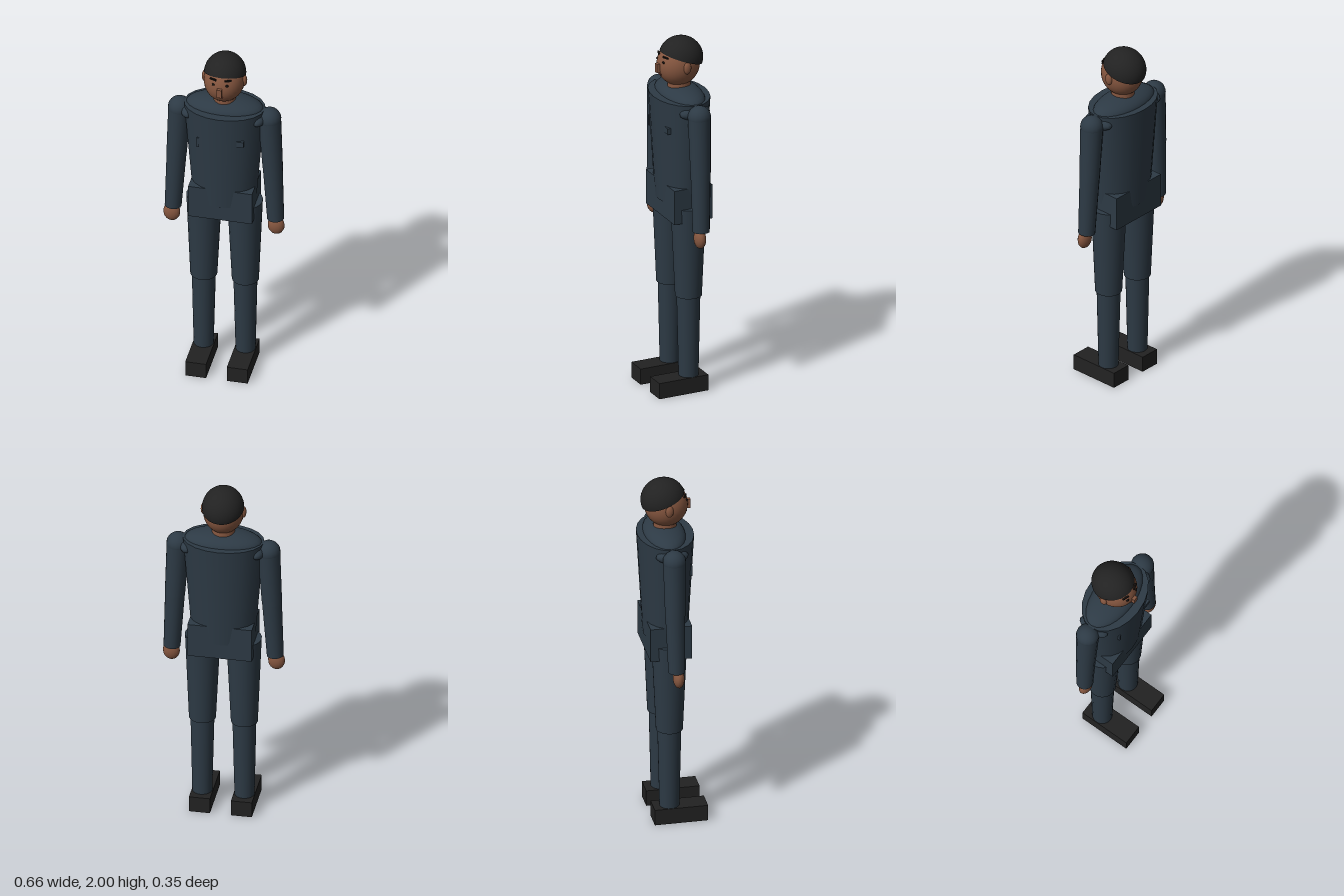
import * as THREE from 'three';

const mat = (name, color) => {
  const m = new THREE.MeshStandardMaterial({ color });
  m.name = name;
  return m;
};

export function createModel() {
  const suit = mat('navySuit', 0x2d3a45);
  const skin = mat('skin', 0x85563f);
  const black = mat('black', 0x222222);
  const dark = mat('eyeDark', 0x120e0c);
  const lip = mat('lip', 0x6b3a30);

  const model = new THREE.Group();
  model.name = 'standingMan';
  const Z = -0.024; // depth axis of the body

  function add(name, geometry, material, x, y, z) {
    const mesh = new THREE.Mesh(geometry, material);
    mesh.name = name;
    mesh.position.set(x, y, z);
    model.add(mesh);
    return mesh;
  }
  const box = (name, m, w, h, d, x, y, z) => add(name, new THREE.BoxGeometry(w, h, d), m, x, y, z);
  const ball = (name, m, rx, ry, rz, x, y, z, segs = 20) =>
    add(name, new THREE.SphereGeometry(1, segs, Math.ceil(segs * 0.7)).scale(rx, ry, rz), m, x, y, z);

  // Tapered limb between two points
  function limb(name, m, top, bottom, rTop, rBottom, sides = 16) {
    const a = new THREE.Vector3(...top), b = new THREE.Vector3(...bottom);
    const axis = a.clone().sub(b);
    const c = a.clone().add(b).multiplyScalar(0.5);
    const mesh = add(name, new THREE.CylinderGeometry(rTop, rBottom, axis.length(), sides), m, c.x, c.y, c.z);
    mesh.quaternion.setFromUnitVectors(new THREE.Vector3(0, 1, 0), axis.normalize());
    return mesh;
  }

  // Torso, shoulder dome and hips
  const torso = new THREE.CylinderGeometry(0.221, 0.173, 0.6, 20).scale(1, 1, 0.69);
  add('torso', torso, suit, 0, 1.38, Z);
  ball('shoulderDome', suit, 0.212, 0.062, 0.112, 0, 1.672, Z - 0.005, 24);
  box('hips', suit, 0.35, 0.195, 0.227, 0, 1.09, -0.025);

  // Jacket details
  box('chestPocket', suit, 0.038, 0.034, 0.02, 0.113, 1.52, 0.098);
  box('jacketSeam', suit, 0.012, 0.06, 0.02, -0.12, 1.495, 0.09);

  // Neck and head
  add('neck', new THREE.CylinderGeometry(0.06, 0.066, 0.12, 20), skin, 0, 1.73, Z);
  ball('head', skin, 0.11, 0.122, 0.118, 0, 1.85, -0.019, 32);

  // Hair: half ellipsoid tilted back
  const cap = new THREE.SphereGeometry(1, 32, 14, 0, Math.PI * 2, 0, Math.PI / 2).scale(0.113, 0.116, 0.122);
  const hair = add('hair', cap, black, 0, 1.883, -0.035);
  hair.rotation.x = -0.35;
  const base = new THREE.Mesh(new THREE.CircleGeometry(1, 32).rotateX(Math.PI / 2).scale(0.113, 1, 0.122), black);
  base.name = 'hairUnderside';
  hair.add(base);

  // Face
  box('nose', skin, 0.026, 0.05, 0.04, 0, 1.842, 0.094);
  box('mouth', lip, 0.034, 0.008, 0.008, 0, 1.806, 0.09);

  for (const s of [-1, 1]) {
    const side = s > 0 ? 'left' : 'right';

    ball(side + 'Eye', dark, 0.009, 0.007, 0.008, s * 0.037, 1.882, 0.086, 10);
    const brow = box(side + 'Eyebrow', dark, 0.038, 0.008, 0.009, s * 0.041, 1.909, 0.077);
    brow.rotation.y = s * 0.35;
    ball(side + 'Ear', skin, 0.015, 0.034, 0.022, s * 0.109, 1.856, -0.021, 14);

    // Arm
    const shoulder = [s * 0.247, 1.625, Z];
    const elbow = [s * 0.264, 1.31, Z + 0.001];
    const wrist = [s * 0.281, 0.977, Z + 0.006];
    ball(side + 'Shoulder', suit, 0.063, 0.063, 0.063, ...shoulder, 16);
    ball(side + 'ShoulderJoin', suit, 0.044, 0.037, 0.089, s * 0.191, 1.63, Z, 16);
    limb(side + 'UpperArm', suit, shoulder, elbow, 0.062, 0.055);
    limb(side + 'Forearm', suit, elbow, wrist, 0.054, 0.046);
    ball(side + 'Hand', skin, 0.046, 0.055, 0.031, s * 0.286, 0.938, -0.008, 16);

    // Leg and shoe
    limb(side + 'Thigh', suit, [s * 0.112, 1.07, Z], [s * 0.114, 0.55, Z], 0.096, 0.073, 20);
    limb(side + 'Shin', suit, [s * 0.114, 0.57, Z], [s * 0.115, 0.085, Z], 0.065, 0.054, 20);
    box(side + 'Shoe', black, 0.114, 0.09, 0.291, s * 0.114, 0.045, 0.031);
  }

  return model;
}
